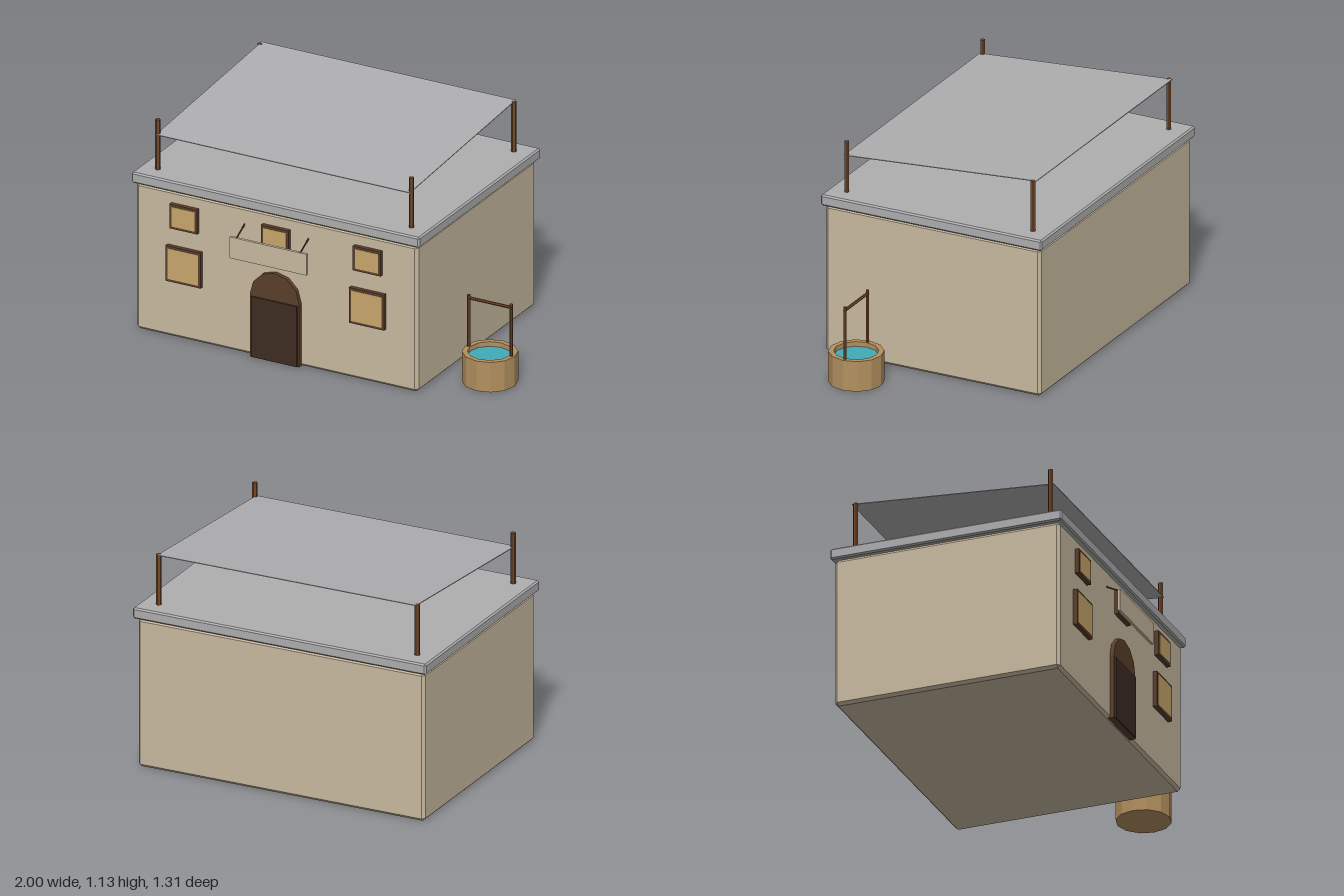
import * as THREE from 'three';
import { ConvexGeometry } from 'three/addons/geometries/ConvexGeometry.js';

const paint = (name, color) => {
  const m = new THREE.MeshStandardMaterial({ color });
  m.name = name;
  m.flatShading = true;
  return m;
};

export function createModel() {
  const model = new THREE.Group();
  model.name = 'innWithWell';

  const wall = paint('sandWall', 0xc9baa0);
  const stone = paint('greyRoof', 0xaeaeb0);
  const wood = paint('brownWood', 0x73482a);
  const frame = paint('darkBrownFrame', 0x5c3f2c);
  const doorMat = paint('darkDoor', 0x3d2c22);
  const pane = paint('amberPane', 0xc9a76c);
  const wellMat = paint('tanWell', 0xb39060);
  const water = paint('turquoiseWater', 0x42abb6);

  function add(name, geometry, material, x = 0, y = 0, z = 0, parent = model) {
    const mesh = new THREE.Mesh(geometry, material);
    mesh.name = name;
    mesh.position.set(x, y, z);
    parent.add(mesh);
    return mesh;
  }

  // Box with every edge chamfered by b
  function chamferBox(w, h, d, b) {
    const pts = [];
    for (const sx of [-1, 1]) for (const sy of [-1, 1]) for (const sz of [-1, 1]) {
      const x = w / 2, y = h / 2, z = d / 2;
      pts.push(
        new THREE.Vector3(sx * x, sy * (y - b), sz * (z - b)),
        new THREE.Vector3(sx * (x - b), sy * y, sz * (z - b)),
        new THREE.Vector3(sx * (x - b), sy * (y - b), sz * z));
    }
    return new ConvexGeometry(pts);
  }

  // Round rod between two points
  function rod(name, a, b, r, material, parent = model, sides = 6) {
    const p = new THREE.Vector3(...a), q = new THREE.Vector3(...b);
    const dir = q.clone().sub(p);
    const mid = p.clone().add(q).multiplyScalar(0.5);
    const mesh = add(name, new THREE.CylinderGeometry(r, r, dir.length(), sides), material, mid.x, mid.y, mid.z, parent);
    mesh.quaternion.setFromUnitVectors(new THREE.Vector3(0, 1, 0), dir.normalize());
    return mesh;
  }

  const cx = -0.182, cz = -0.035;

  // House body and flat roof slab
  add('houseBody', chamferBox(1.595, 0.795, 1.206, 0.015), wall, cx, 0.3975, cz);
  add('roofSlab', chamferBox(1.632, 0.058, 1.24, 0.008), stone, cx + 0.001, 0.824, cz);

  // Awning posts and sloping sheet
  for (const x of [-0.9, 0.538]) for (const z of [0.488, -0.556])
    rod('awningPost', [x, 0.84, z], [x, 1.124, z], 0.0135, wood);
  const slope = Math.atan2(0.078, 1.08);
  add('awningSheet', new THREE.BoxGeometry(1.44, 0.004, 1.083), stone, cx, 1.084, cz).rotation.x = slope;

  // Windows: [centre x, centre y, width, height]
  const windows = [
    [-0.7, 0.664, 0.157, 0.132], [-0.181, 0.664, 0.157, 0.132], [0.34, 0.664, 0.157, 0.132],
    [-0.701, 0.404, 0.198, 0.192], [0.339, 0.404, 0.198, 0.192],
  ];
  for (const [x, y, w, h] of windows) {
    const group = new THREE.Group();
    group.name = 'window';
    group.position.set(x, y, 0);
    model.add(group);
    add('windowFrame', new THREE.BoxGeometry(w, h, 0.03), frame, 0, 0, 0.575, group);
    add('windowPane', new THREE.BoxGeometry(w - 0.026, h - 0.026, 0.003), pane, 0, 0, 0.5905, group);
  }

  // Arched doorway with six straight steps round the arch
  const arch = new THREE.Shape();
  arch.moveTo(-0.14, 0.003);
  arch.lineTo(0.14, 0.003);
  for (let i = 0; i <= 6; i++) {
    const a = (i / 6) * Math.PI;
    arch.lineTo(0.14 * Math.cos(a), 0.343 + 0.14 * Math.sin(a));
  }
  add('doorArch', new THREE.ExtrudeGeometry(arch, { depth: 0.032, bevelEnabled: false }), frame, cx, 0, 0.558);
  add('door', new THREE.BoxGeometry(0.26, 0.328, 0.035), doorMat, cx, 0.169, 0.581);

  // Hanging sign board with two slanted brackets
  add('signBoard', new THREE.BoxGeometry(0.435, 0.115, 0.015), wall, cx, 0.6025, 0.648);
  for (const x of [-0.364, -0.002])
    rod('signBracket', [x, 0.706, 0.56], [x, 0.659, 0.65], 0.004, frame);

  // Well: hollow twelve-sided tub, water, posts and crossbar
  const well = new THREE.Group();
  well.name = 'well';
  well.position.set(0.859, 0, 0.265);
  model.add(well);
  const profile = [[0, 0], [0.14, 0], [0.14, 0.162], [0.112, 0.162], [0.112, 0.1]]
    .map(([x, y]) => new THREE.Vector2(x, y));
  add('wellTub', new THREE.LatheGeometry(profile, 12), wellMat, 0, 0, 0, well);
  add('wellWater', new THREE.CircleGeometry(0.112, 12), water, 0, 0.137, 0, well).rotation.x = -Math.PI / 2;
  for (const x of [-0.12, 0.12])
    rod('wellPost', [x, 0.13, 0], [x, 0.443, 0], 0.009, wood, well);
  rod('wellCrossbar', [-0.125, 0.425, 0], [0.125, 0.425, 0], 0.008, wood, well);

  return model;
}
